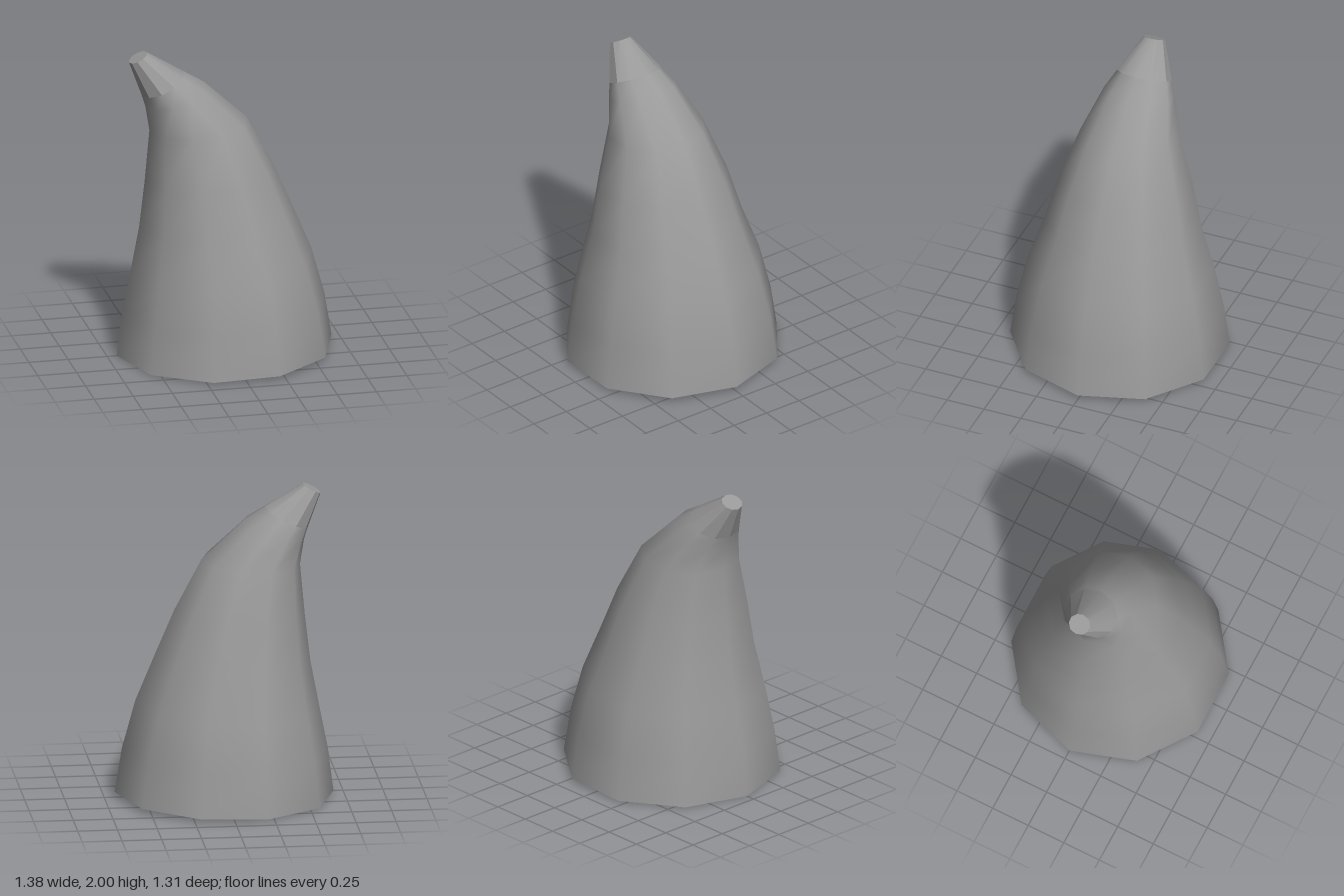
import * as THREE from 'three';
import { toCreasedNormals } from 'three/addons/utils/BufferGeometryUtils.js';

const SIDES = 10;

// Each ring: left end x, y, right end x, y, radius across z
const RINGS = [
  [-0.69, 0.0, 0.685, 0.035, 0.688],
  [-0.655, 0.28, 0.64, 0.315, 0.652],
  [-0.6, 0.56, 0.555, 0.625, 0.587],
  [-0.545, 0.85, 0.43, 0.925, 0.49],
  [-0.51, 1.15, 0.31, 1.205, 0.421],
  [-0.48, 1.48, 0.14, 1.525, 0.311],
  [-0.505, 1.64, -0.13, 1.775, 0.226],
  [-0.53, 1.72, -0.26, 1.855, 0.176],
  [-0.61, 1.94, -0.495, 2.0, 0.07],
];

// Skin a run of tilted rings, optionally closing the last one
function loft(rings, capEnd = false) {
  const positions = [], index = [];
  for (const [lx, ly, rx, ry, rz] of rings) {
    for (let j = 0; j < SIDES; j++) {
      const a = (j / SIDES) * Math.PI * 2;
      const t = (1 + Math.cos(a)) / 2;
      positions.push(lx + (rx - lx) * t, ly + (ry - ly) * t, rz * Math.sin(a));
    }
  }
  for (let i = 0; i < rings.length - 1; i++) {
    for (let j = 0; j < SIDES; j++) {
      const k = (j + 1) % SIDES;
      const a = i * SIDES + j, b = i * SIDES + k;
      index.push(a, a + SIDES, b, b, a + SIDES, b + SIDES);
    }
  }
  if (capEnd) {
    const s = (rings.length - 1) * SIDES;
    for (let j = 1; j < SIDES - 1; j++) index.push(s, s + j + 1, s + j);
  }
  const geometry = new THREE.BufferGeometry();
  geometry.setAttribute('position', new THREE.Float32BufferAttribute(positions, 3));
  geometry.setIndex(index);
  geometry.computeVertexNormals();
  return geometry;
}

export function createModel() {
  const group = new THREE.Group();
  group.name = 'horn';
  const material = new THREE.MeshStandardMaterial({ color: 0x999999, side: THREE.DoubleSide });

  // Smooth curved body, open at the base
  const body = new THREE.Mesh(loft(RINGS.slice(0, 8)), material);
  body.name = 'hornBody';

  // Blunt tip with sharp facet edges, softened only where the facets nearly align
  const tip = new THREE.Mesh(toCreasedNormals(loft(RINGS.slice(7), true), Math.PI / 6), material);
  tip.name = 'hornTip';

  group.add(body, tip);
  return group;
}
